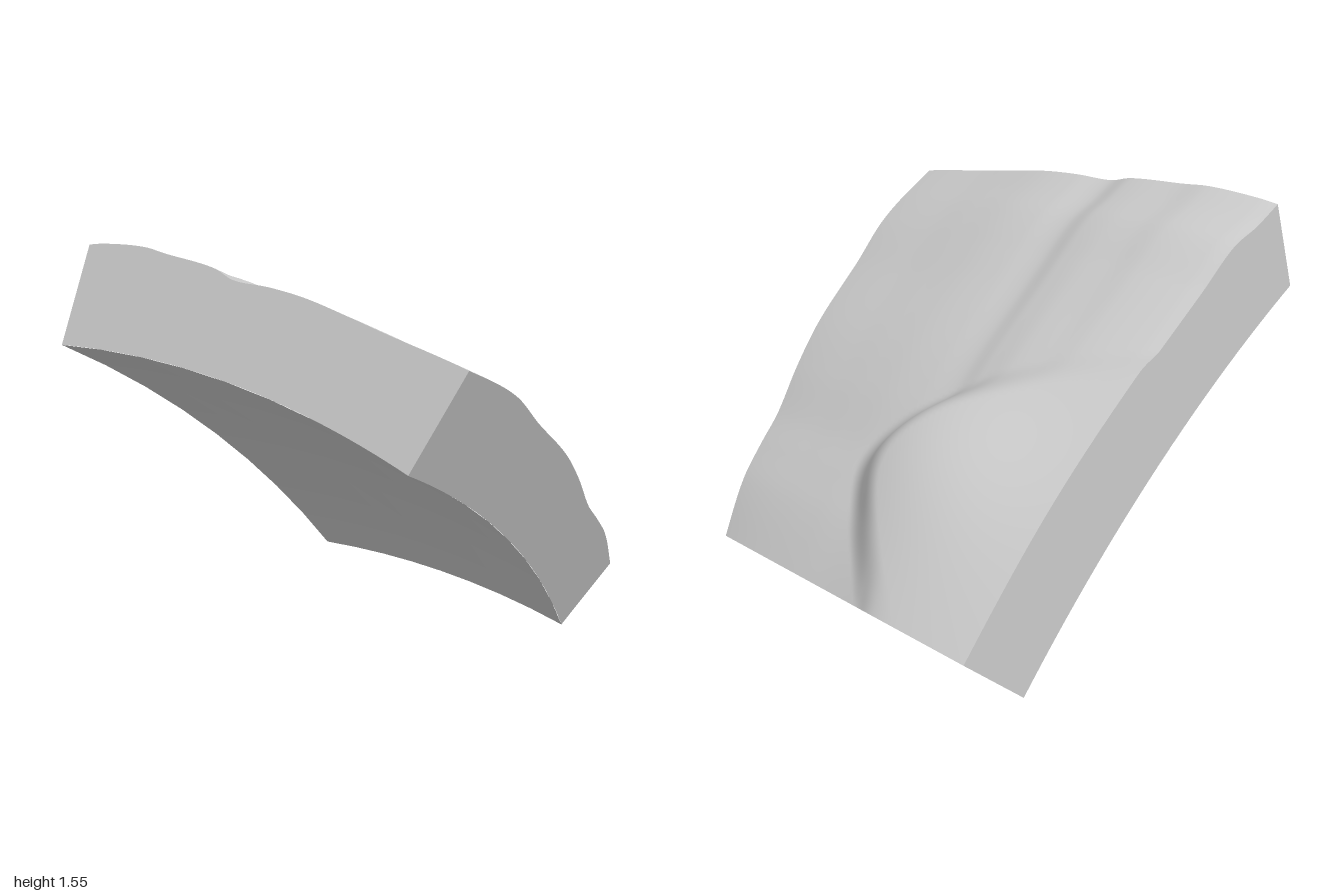
import * as THREE from 'three';
import { ParametricGeometry } from 'three/addons/geometries/ParametricGeometry.js';

// Curved terrain tile: a 22.5 x 22.5 degree patch of a spherical shell.
const CENTRE = new THREE.Vector3(-0.925, -3.25, 2.71);
const INNER = 4.797;
const STEP = Math.PI / 8;

// Smooth curve through [position, value] points.
function profile(points) {
  const slope = (i) => {
    const a = points[Math.max(i - 1, 0)], b = points[Math.min(i + 1, points.length - 1)];
    return (b[1] - a[1]) / (b[0] - a[0]);
  };
  return (t) => {
    let i = 0;
    while (i < points.length - 2 && t > points[i + 1][0]) i++;
    const [x0, y0] = points[i], [x1, y1] = points[i + 1];
    const w = x1 - x0, k = THREE.MathUtils.clamp((t - x0) / w, 0, 1), k2 = k * k, k3 = k2 * k;
    return y0 * (2 * k3 - 3 * k2 + 1) + y1 * (3 * k2 - 2 * k3)
      + slope(i) * w * (k3 - 2 * k2 + k) + slope(i + 1) * w * (k3 - k2);
  };
}

// Radius of the ground along the four edges
const front = profile([[0, 5.198], [0.04, 5.204], [0.156, 5.204], [0.226, 5.188], [0.36, 5.169],
  [0.42, 5.143], [0.51, 5.153], [0.6, 5.157], [0.71, 5.152], [0.82, 5.151], [1, 5.171]]);
const back = profile([[0, 5.246], [0.155, 5.244], [0.29, 5.236], [0.36, 5.21], [0.5, 5.174],
  [0.64, 5.155], [0.78, 5.143], [1, 5.13]]);
const left = profile([[0, 5.198], [0.07, 5.206], [0.14, 5.235], [0.25, 5.217], [0.39, 5.215], [1, 5.246]]);
const right = profile([[0, 5.171], [0.19, 5.188], [0.33, 5.168], [0.5, 5.169], [0.61, 5.155],
  [0.72, 5.134], [0.8, 5.144], [0.88, 5.152], [1, 5.13]]);

// Outline of the raised plateau that runs off the left and back edges
const plateauEdge = profile([[0, -1.2], [0.3, -0.32], [0.41, 0.02], [0.48, 0.18], [0.56, 0.33],
  [0.66, 0.47], [0.76, 0.53], [0.87, 0.46], [0.97, 0.35], [1, 0.31]]);

function groundRadius(u, v) {
  const lerp = THREE.MathUtils.lerp;
  const corners = lerp(lerp(front(0), front(1), u), lerp(back(0), back(1), u), v);
  const plain = lerp(front(u), back(u), v) + lerp(left(v), right(v), u) - corners;
  const du = (u - 0.36) / 0.18, dv = (v - 0.71) / 0.14;
  const plateau = 5.24 + 0.08 * Math.exp(-(du * du + dv * dv) / 2);
  const mask = THREE.MathUtils.smoothstep(plateauEdge(v) - u, -0.07, 0.1);
  return lerp(plain, plateau, mask);
}

// Point on the patch: u runs to +x, v runs to -z, h from inner to outer surface.
function place(u, v, h, target) {
  const r = h === 0 ? INNER : THREE.MathUtils.lerp(INNER, groundRadius(u, v), h);
  target.set(Math.tan(u * STEP), 1, -Math.tan((1 + v) * STEP)).setLength(r).add(CENTRE);
}

export function createModel() {
  const group = new THREE.Group();
  const stone = new THREE.MeshStandardMaterial({ color: 0xcccccc });
  stone.name = 'paleGrey';

  const add = (name, rule, across, up, faceted = false) => {
    let geometry = new ParametricGeometry((s, t, p) => place(...rule(s, t), p), across, up);
    if (faceted) {
      geometry = geometry.toNonIndexed();
      geometry.computeVertexNormals();
    }
    const mesh = new THREE.Mesh(geometry, stone);
    mesh.name = name;
    group.add(mesh);
  };

  add('terrainSurface', (s, t) => [s, t, 1], 96, 96);
  add('underside', (s, t) => [1 - s, t, 0], 8, 8, true);
  // Cut side walls
  add('frontWall', (s, t) => [s, 0, t], 96, 1);
  add('backWall', (s, t) => [1 - s, 1, t], 96, 1);
  add('rightWall', (s, t) => [1, s, t], 96, 1);
  add('leftWall', (s, t) => [0, 1 - s, t], 96, 1);
  return group;
}
